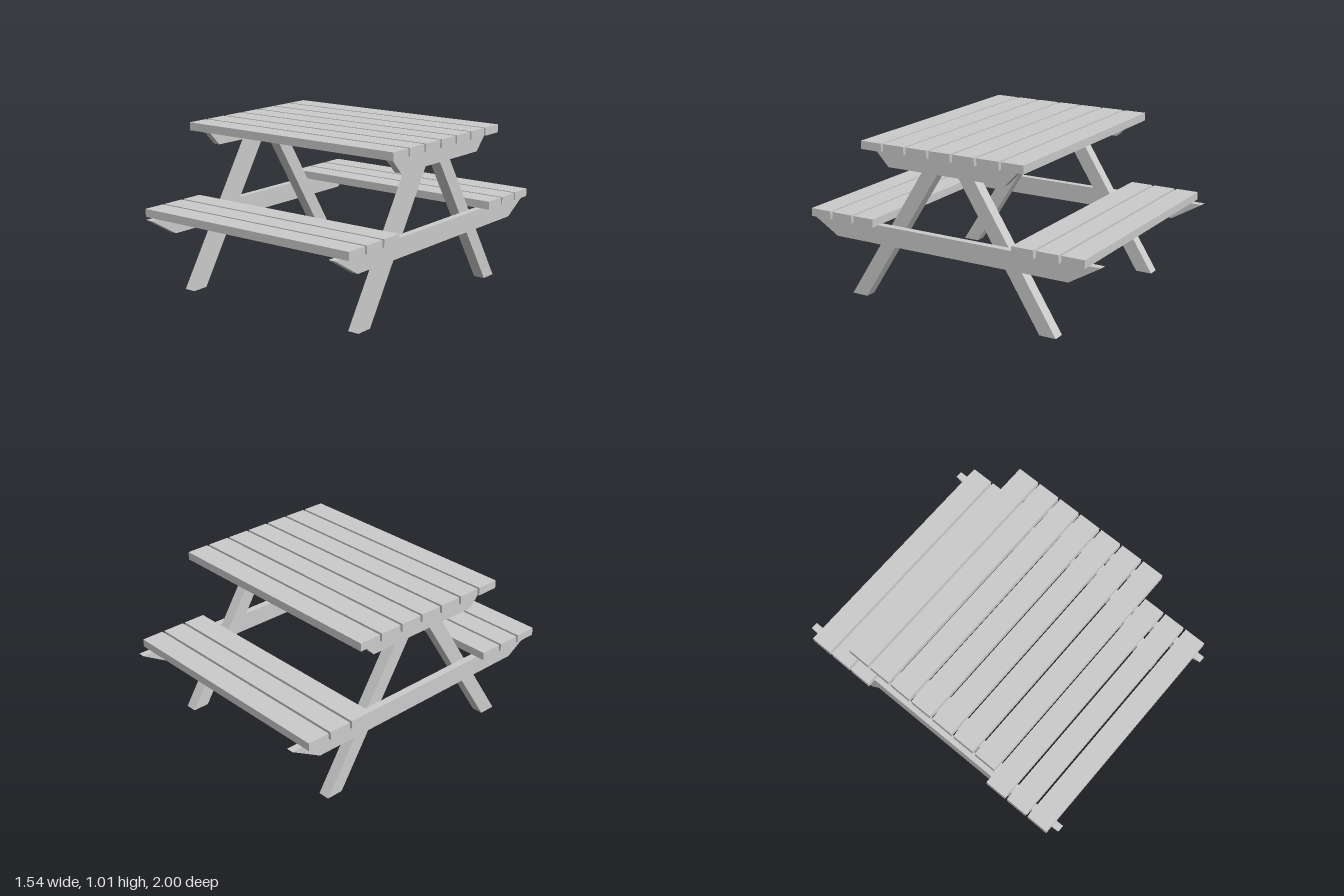
import * as THREE from 'three';

const wood = new THREE.MeshStandardMaterial({ color: 0xcccccc, flatShading: true });

export function createModel() {
  const model = new THREE.Group();
  model.name = 'picnicTable';

  const add = (name, geometry) => {
    const mesh = new THREE.Mesh(geometry, wood);
    mesh.name = name;
    model.add(mesh);
  };

  // Board running along x
  const plank = (name, z, yBottom, yTop) => {
    const geometry = new THREE.BoxGeometry(1.54, yTop - yBottom, 0.143);
    add(name, geometry.translate(0, (yBottom + yTop) / 2, z));
  };

  // Timber with a (z, y) outline, filling xMin..xMax
  const timber = (name, outline, xMin, xMax) => {
    const shape = new THREE.Shape(outline.map(([z, y]) => new THREE.Vector2(z, y)));
    const geometry = new THREE.ExtrudeGeometry(shape, { depth: xMax - xMin, bevelEnabled: false });
    add(name, geometry.rotateY(-Math.PI / 2).translate(xMax, 0, 0));
  };

  // Table top
  for (let i = -3; i <= 3; i++) plank('tablePlank', 0.004 + i * 0.1595, 0.962, 1.012);

  // Front and back benches
  for (let i = 0; i < 3; i++) {
    plank('frontBenchPlank', 0.56 + i * 0.1595, 0.49, 0.54);
    plank('backBenchPlank', -0.538 - i * 0.1595, 0.49, 0.54);
  }

  // Tapered beams and splayed legs at each end
  const tableBeam = [[-0.394, 0.861], [0.4, 0.861], [0.498, 0.962], [-0.492, 0.962]];
  const benchBeam = [[-0.8, 0.372], [0.8, 0.372], [1, 0.49], [-1, 0.49]];
  const legOutline = (s) =>
    [[0.61, 0], [0.717, 0], [0.107, 0.962], [0, 0.962]].map(([z, y]) => [0.015 + s * z, y]);

  for (const [side, s] of [['left', 1], ['right', -1]]) {
    const span = (a, b) => (s > 0 ? [a, b] : [-b, -a]);
    timber(side + 'TableBeam', tableBeam, ...span(0.671, 0.716));
    timber(side + 'BenchBeam', benchBeam, ...span(0.671, 0.716));
    timber(side + 'FrontLeg', legOutline(1), ...span(0.598, 0.671));
    timber(side + 'BackLeg', legOutline(-1), ...span(0.598, 0.671));
  }

  return model;
}
